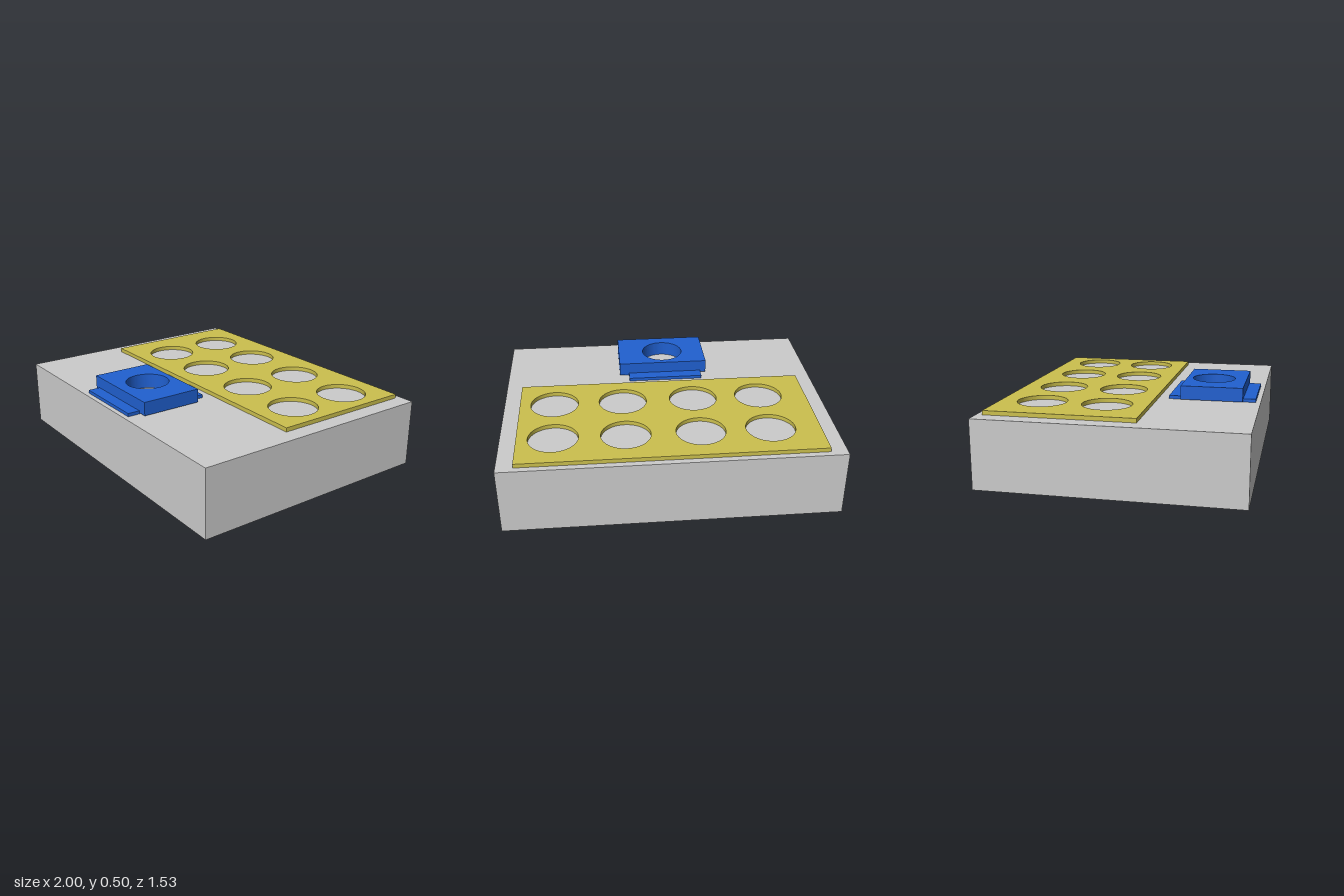
import * as THREE from 'three';
import { toCreasedNormals } from 'three/addons/utils/BufferGeometryUtils.js';

const grey = new THREE.MeshStandardMaterial({ color: 0xcccccc });
const gold = new THREE.MeshStandardMaterial({ color: 0xccc04e });
const blue = new THREE.MeshStandardMaterial({ color: 0x2060d0 });

// Horizontal slab spanning x0..x1, z0..z1, y0..y1, pierced by round holes [x, z, radius]
function slab(name, material, [x0, x1], [y0, y1], [z0, z1], holes) {
  const shape = new THREE.Shape([
    new THREE.Vector2(x0, -z1), new THREE.Vector2(x1, -z1),
    new THREE.Vector2(x1, -z0), new THREE.Vector2(x0, -z0),
  ]);
  for (const [x, z, r] of holes) {
    shape.holes.push(new THREE.Path().absarc(x, -z, r, 0, Math.PI * 2, true));
  }
  const extruded = new THREE.ExtrudeGeometry(shape, {
    depth: y1 - y0, bevelEnabled: false, curveSegments: 48,
  });
  extruded.rotateX(-Math.PI / 2).translate(0, y0, 0);
  const mesh = new THREE.Mesh(toCreasedNormals(extruded, Math.PI / 6), material);
  mesh.name = name;
  return mesh;
}

export function createModel() {
  const model = new THREE.Group();
  model.name = 'holderOnBlock';

  // Solid base block
  const base = new THREE.Mesh(new THREE.BoxGeometry(2, 0.41, 1.535), grey);
  base.name = 'baseBlock';
  base.position.y = 0.205;
  model.add(base);

  // Thin plate with two rows of four round holes
  const plateHoles = [];
  for (const z of [-0.48, -0.09]) {
    for (const x of [-0.6, -0.183, 0.26, 0.685]) plateHoles.push([x, z, 0.148]);
  }
  model.add(slab('perforatedPlate', gold, [-0.9, 0.9], [0.41, 0.435], [-0.73, 0.15], plateHoles));

  // Slide mount: low rail plate under a thicker block, one bore through both
  const mount = new THREE.Group();
  mount.name = 'slideMount';
  const bore = [[-0.035, 0.46, 0.132]];
  mount.add(
    slab('mountRail', blue, [-0.278, 0.2], [0.41, 0.43], [0.215, 0.738], bore),
    slab('mountBlock', blue, [-0.315, 0.26], [0.417, 0.5], [0.29, 0.663], bore),
  );
  model.add(mount);

  return model;
}
